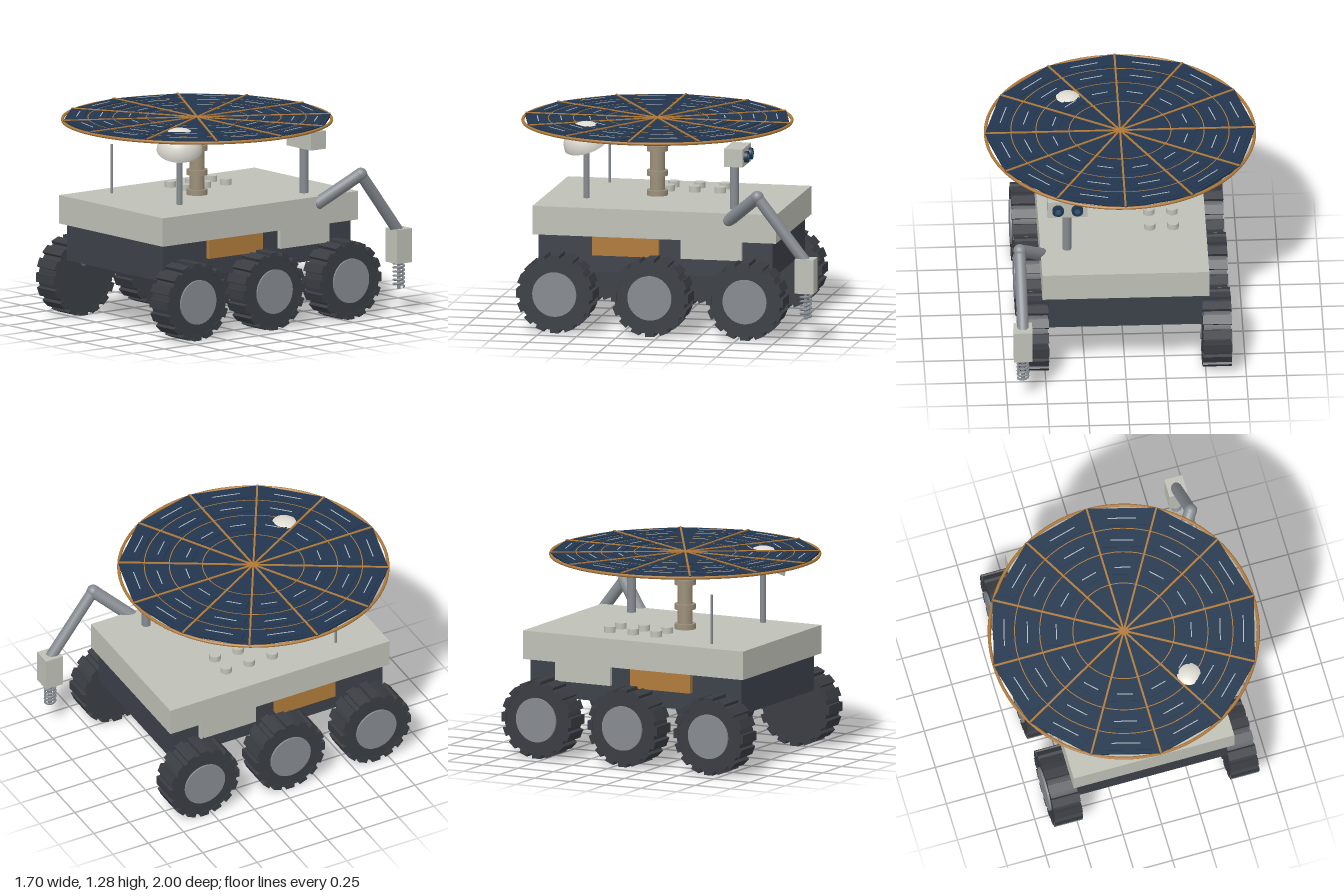
import * as THREE from 'three';

const mat = (name, color, side = THREE.FrontSide) => {
  const m = new THREE.MeshStandardMaterial({ color, side });
  m.name = name;
  return m;
};

export function createModel() {
  const shell = mat('shell grey', 0xbfc0b6);
  const chassis = mat('chassis charcoal', 0x3c4049);
  const rubber = mat('tyre rubber', 0x393c42);
  const metal = mat('metal grey', 0x868b91);
  const bronze = mat('bronze', 0xb07a3a);
  const tan = mat('mast tan', 0x9c907a);
  const solar = mat('solar navy', 0x22364e);
  const white = mat('dish white', 0xdedcd2, THREE.DoubleSide);
  const lensBlue = mat('lens blue', 0x2f5878);
  const line = mat('cell line', 0xb4bcc2);

  const root = new THREE.Group();
  root.name = 'rover';
  const V = (x, y, z) => new THREE.Vector3(x, y, z);
  const add = (name, geo, m, x = 0, y = 0, z = 0, parent = root) => {
    const mesh = new THREE.Mesh(geo, m);
    mesh.name = name;
    mesh.position.set(x, y, z);
    parent.add(mesh);
    return mesh;
  };
  // box given by its min and max corners
  const box = (name, m, x0, x1, y0, y1, z0, z1) =>
    add(name, new THREE.BoxGeometry(x1 - x0, y1 - y0, z1 - z0), m, (x0 + x1) / 2, (y0 + y1) / 2, (z0 + z1) / 2);
  // upright cylinder between two heights
  const post = (name, m, r, x, z, y0, y1, seg = 24) =>
    add(name, new THREE.CylinderGeometry(r, r, y1 - y0, seg), m, x, (y0 + y1) / 2, z);
  // cylinder between two points
  const rod = (name, m, r, a, b) => {
    const mesh = add(name, new THREE.CylinderGeometry(r, r, a.distanceTo(b), 20), m);
    mesh.position.copy(a).add(b).multiplyScalar(0.5);
    mesh.quaternion.setFromUnitVectors(V(0, 1, 0), b.clone().sub(a).normalize());
    return mesh;
  };

  // Body
  box('deck', shell, -0.52, 0.52, 0.6, 0.78, -0.72, 0.83);
  box('chassis', chassis, -0.48, 0.48, 0.37, 0.6, -0.69, 0.8);

  // Wheels, struts and side panels, mirrored
  const tyreGeo = new THREE.CylinderGeometry(0.226, 0.226, 0.17, 32);
  const hubGeo = new THREE.CylinderGeometry(0.14, 0.14, 0.16, 32);
  const treadGeo = new THREE.BoxGeometry(0.058, 0.18, 0.035);
  for (const s of [-1, 1]) {
    for (const z of [0.66, 0.054, -0.552]) {
      const wheel = new THREE.Group();
      wheel.name = 'wheel';
      wheel.position.set(s * 0.57, 0.25, z);
      wheel.rotation.z = -s * Math.PI / 2;
      root.add(wheel);
      add('tyre', tyreGeo, rubber, 0, 0, 0, wheel);
      add('hub', hubGeo, metal, 0, 0.017, 0, wheel);
      for (let i = 0; i < 16; i++) {
        const a = i * Math.PI / 8;
        const tread = add('tread', treadGeo, rubber, Math.sin(a) * 0.227, 0, Math.cos(a) * 0.227, wheel);
        tread.rotation.y = a;
      }
      rod('wheelStrut', metal, 0.035, V(s * 0.42, 0.45, z), V(s * 0.55, 0.294, z));
    }
    const [a, b] = s > 0 ? [0.47, 0.512] : [-0.512, -0.47];
    box('bronzeSidePanel', bronze, a, b, 0.48, 0.6, 0.03, 0.453);
    box('greySidePanel', shell, a, b, 0.48, 0.6, -0.5, -0.112);
  }

  // Central mast with collars
  const cz = 0.147;
  post('mast', tan, 0.047, 0, cz, 0.78, 1.25);
  for (const y of [0.8, 0.925, 1.08, 1.2]) post('mastCollar', tan, 0.066, 0, cz, y - 0.017, y + 0.017);

  // Solar disc: twelve-sided panel, round rim, spokes, rings and cells
  const disc = new THREE.Group();
  disc.name = 'solarDisc';
  disc.position.set(0, 1.262, cz);
  root.add(disc);
  add('solarPanel', new THREE.CylinderGeometry(0.842, 0.842, 0.014, 12), solar, 0, 0, 0, disc);
  const rim = add('rim', new THREE.TorusGeometry(0.838, 0.01, 8, 96), bronze, 0, -0.005, 0, disc);
  rim.rotation.x = Math.PI / 2;
  for (const r of [0.317, 0.524, 0.68]) {
    const ring = add('ring', new THREE.RingGeometry(r - 0.003, r + 0.003, 72), bronze, 0, 0.009, 0, disc);
    ring.rotation.x = -Math.PI / 2;
  }
  for (let i = 0; i < 12; i++) {
    const sector = new THREE.Group();
    sector.name = 'sector';
    sector.rotation.y = i * Math.PI / 6;
    disc.add(sector);
    add('spoke', new THREE.BoxGeometry(0.012, 0.014, 0.84), bronze, 0, 0.006, 0.42, sector);
    const cells = new THREE.Group();
    cells.name = 'cells';
    cells.rotation.y = Math.PI / 12;
    sector.add(cells);
    for (const r of [0.42, 0.6, 0.745]) {
      add('cell', new THREE.BoxGeometry(r * 0.42, 0.006, 0.09), solar, 0, 0.009, r, cells);
      add('cellLine', new THREE.BoxGeometry(r * 0.24, 0.002, 0.006), line, 0, 0.013, r, cells);
    }
  }

  // Dish antenna on its pole
  post('dishPole', metal, 0.019, 0.31, 0.53, 0.805, 1.15);
  const dish = add('dish', new THREE.SphereGeometry(0.142, 32, 14, 0, Math.PI * 2, 0, Math.PI / 2), white, 0.31, 1.148, 0.532);
  dish.quaternion.setFromUnitVectors(V(0, 1, 0), V(0.36, 1, 0.25).normalize());

  // Whip antenna and deck knobs
  post('whipAntenna', metal, 0.008, -0.37, 0.53, 0.78, 1.09, 10);
  for (const x of [-0.315, -0.17])
    for (const z of [0.11, -0.053, -0.216]) post('deckKnob', shell, 0.036, x, z, 0.78, 0.818);

  // Camera head looking backwards
  post('cameraPost', metal, 0.028, 0.355, -0.42, 0.78, 1.08);
  box('cameraHead', shell, 0.23, 0.477, 1.066, 1.18, -0.5, -0.38);
  for (const x of [0.293, 0.413]) {
    const barrel = add('lensBarrel', new THREE.CylinderGeometry(0.036, 0.036, 0.03, 24), solar, x, 1.123, -0.508);
    barrel.rotation.x = -Math.PI / 2;
    const glass = add('lensGlass', new THREE.CylinderGeometry(0.018, 0.018, 0.004, 20), lensBlue, x, 1.123, -0.524);
    glass.rotation.x = -Math.PI / 2;
  }

  // Arm with drill
  const shoulder = V(0.5, 0.735, -0.42), elbow = V(0.657, 0.915, -0.632), wrist = V(0.65, 0.52, -0.935);
  rod('upperArm', metal, 0.04, shoulder, elbow);
  rod('forearm', metal, 0.036, elbow, wrist);
  for (const p of [shoulder, elbow]) add('armJoint', new THREE.SphereGeometry(0.041, 20, 14), metal, p.x, p.y, p.z);
  box('drillHousing', shell, 0.592, 0.708, 0.325, 0.54, -1, -0.88);
  post('drillShaft', metal, 0.012, 0.65, -0.94, 0.155, 0.33, 12);
  const coil = [];
  for (let i = 0; i <= 72; i++) {
    const a = i * Math.PI / 6;
    coil.push(V(0.65 + 0.033 * Math.cos(a), 0.325 - 0.155 * i / 72, -0.94 + 0.033 * Math.sin(a)));
  }
  add('drillCoil', new THREE.TubeGeometry(new THREE.CatmullRomCurve3(coil), 160, 0.007, 6), metal);

  return root;
}
